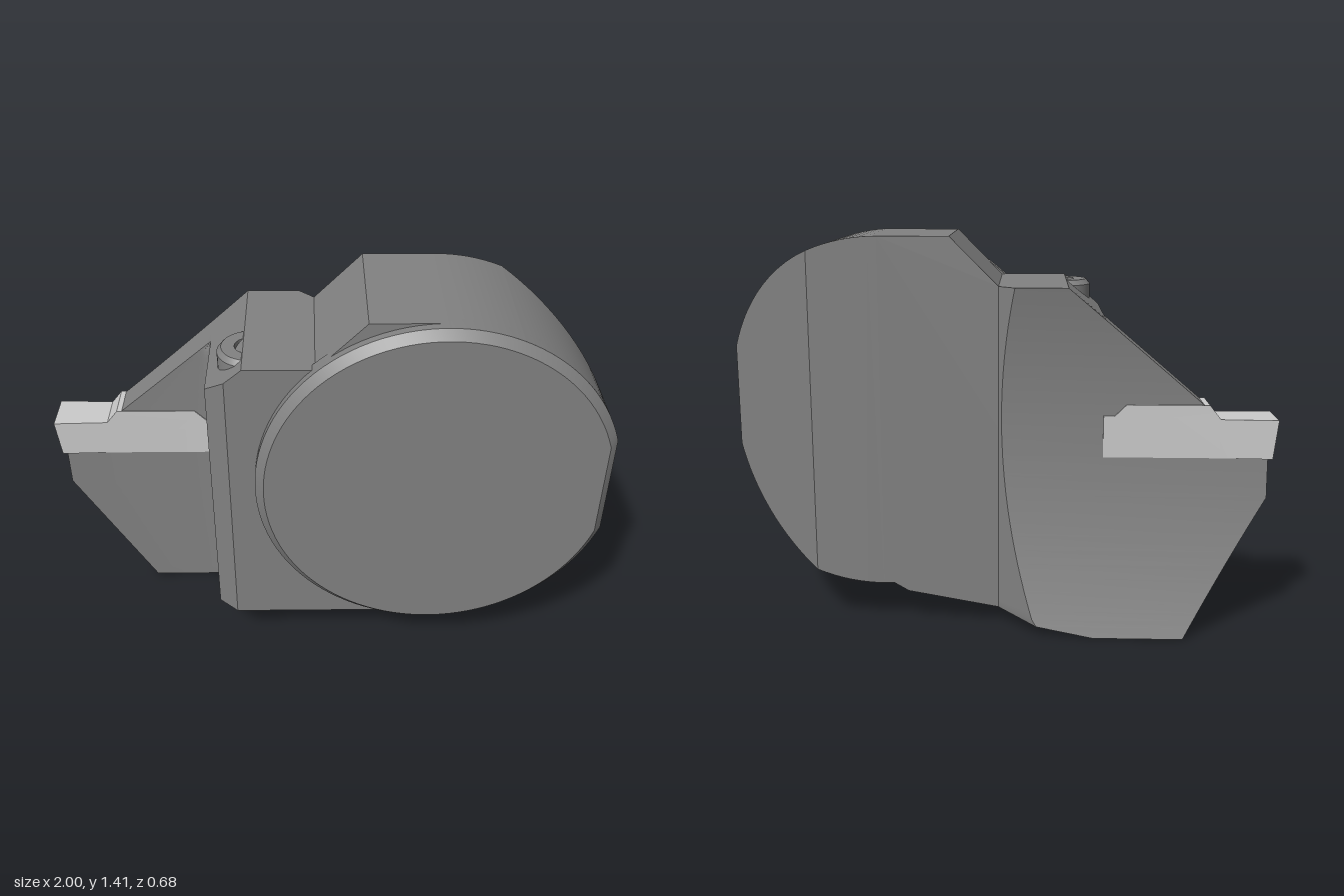
import * as THREE from 'three';
import { toCreasedNormals } from 'three/addons/utils/BufferGeometryUtils.js';

const CX = 0.4, CY = 0.78, R = 0.63;
const steel = new THREE.MeshStandardMaterial({ color: 0x828282 });
const carbide = new THREE.MeshStandardMaterial({ color: 0xcccccc });

function addMesh(group, name, geometry, material = steel) {
  const mesh = new THREE.Mesh(toCreasedNormals(geometry, 0.5), material);
  mesh.name = name;
  group.add(mesh);
}

// Prism along z between z0 and z1; rule(v, isFront) may then move each corner.
function prism(points, z0, z1, rule) {
  const shape = new THREE.Shape(points.map(([x, y]) => new THREE.Vector2(x, y)));
  const g = new THREE.ExtrudeGeometry(shape, { depth: z1 - z0, bevelEnabled: false });
  g.translate(0, 0, z0);
  if (rule) {
    const p = g.attributes.position, v = new THREE.Vector3(), mid = (z0 + z1) / 2;
    for (let i = 0; i < p.count; i++) {
      v.fromBufferAttribute(p, i);
      rule(v, v.z > mid);
      p.setXYZ(i, v.x, v.y, v.z);
    }
  }
  return g;
}

// Points of the disc's rim between two angles
function arc(a0, a1, n) {
  return Array.from({ length: n + 1 }, (_, i) => {
    const a = a0 + (a1 - a0) * i / n;
    return [CX + R * Math.cos(a), CY + R * Math.sin(a)];
  });
}

// Blade outline and curved back as functions of height
const backZ = y => -0.22 - 0.197 * (y - CY) ** 2;
function leftX(y) {
  if (y <= 0.5) return -0.68 - 0.58 * y;
  if (y <= 0.64) return -0.97;
  return y <= 0.78 ? -0.8 : -0.8 + (y - 0.78) * 0.54 / 0.46;
}
function rightX(y) {
  if (y <= 0.12) return -0.36 + y * 0.67 / 0.12;
  return y <= 0.155 ? 0.31 + (y - 0.12) * 1.7 : -0.02;
}

// Horizontal cross-section of the blade at height y, as [x, z] points
function bladeSection(y) {
  const xl = leftX(y), xr = rightX(y), zb = backZ(y);
  const slopeX = -0.02 + (zb + 0.21) * 1.1;
  const zr = xr < -0.02 ? Math.max(zb, -0.21 - (-0.02 - xr) / 1.1) : -0.21;
  const loop = [[xl, zb], [Math.min(xr, slopeX), zb], [Math.min(xr, -0.02), zr],
    [xr, zr], [xr, -0.015], [-0.39, -0.015]];
  for (let i = 0; i <= 4; i++) {
    const a = i * Math.PI / 8;
    loop.push([-0.43 + 0.04 * Math.cos(a), -0.05 - 0.04 * Math.sin(a)]);
  }
  loop.push([xl, -0.09]);
  return loop.map(([x, z]) => [Math.max(x, xl), z]);
}

function bladeGeometry() {
  const rows = [0, 0.036, 0.061, 0.09, 0.12, 0.155, 0.156];
  for (let i = 1; i <= 7; i++) rows.push(0.156 + (0.5 - 0.156) * i / 7);
  rows.push(0.57, 0.64, 0.641, 0.71, 0.78);
  for (let i = 1; i <= 10; i++) rows.push(0.78 + 0.35 * i / 10);
  rows.push(1.17, 1.205, 1.24);
  const pos = [], idx = [], sections = rows.map(bladeSection), n = sections[0].length;
  sections.forEach((s, r) => s.forEach(([x, z]) => pos.push(x, rows[r], z)));
  for (let r = 0; r < rows.length - 1; r++) {
    for (let j = 0; j < n; j++) {
      const a = r * n + j, b = r * n + (j + 1) % n;
      idx.push(a, b + n, b, a, a + n, b + n);
    }
  }
  // Bottom and top caps
  [0, rows.length - 1].forEach(r => {
    const pts = sections[r].map(([x, z]) => new THREE.Vector2(x, z));
    for (const [a, b, c] of THREE.ShapeUtils.triangulateShape(pts, [])) {
      const facesDown = THREE.ShapeUtils.area([pts[a], pts[b], pts[c]]) > 0;
      const t = facesDown === (r === 0) ? [a, b, c] : [a, c, b];
      idx.push(...t.map(k => k + r * n));
    }
  });
  const g = new THREE.BufferGeometry();
  g.setAttribute('position', new THREE.Float32BufferAttribute(pos, 3));
  g.setIndex(idx);
  return g;
}

export function createModel() {
  const group = new THREE.Group();
  group.name = 'cuttingHead';

  // Clamping block, with a chamfered upright front edge
  const block = [[-0.39, 0.15], [CX, 0.15], [CX, 1.41], [0.15, 1.41],
    [-0.02, 1.24], [-0.26, 1.24], [-0.39, 1.13]];
  addMesh(group, 'block', prism(block, -0.21, 0.22));
  addMesh(group, 'blockFront', prism(block, 0.22, 0.28, (v, front) => {
    if (front && v.x < -0.38) {
      v.x = -0.32;
      if (v.y > 1) v.y = 1.19;
    }
  }));

  // Round side of the body: straight part, then the part with the slanted back
  const flat = Math.acos((1 - CX) / R), cut = Math.acos((0.645 - CX) / R), q = Math.PI / 2;
  addMesh(group, 'roundBody',
    prism([...arc(-q, -cut, 8), ...arc(cut, q, 8)], -0.21, 0.31));
  addMesh(group, 'slantedBody',
    prism([...arc(-cut, -flat, 16), ...arc(flat, cut, 16)], -0.21, 0.31, (v, front) => {
      if (!front) v.z = 0.14 - (1 - v.x) * 0.35 / 0.355;
    }));

  // Front disc with a flat on one side and a chamfered rim
  const disc = arc(flat, 2 * Math.PI - flat, 96);
  addMesh(group, 'frontDisc', prism(disc, 0.25, 0.31));
  addMesh(group, 'discChamfer', prism(disc, 0.31, 0.34, (v, front) => {
    if (front) {
      v.x = CX + (v.x - CX) * 0.952;
      v.y = CY + (v.y - CY) * 0.952;
    }
  }));

  // Curved support blade with its foot
  addMesh(group, 'blade', bladeGeometry());

  // Fillet between the foot and the underside of the block
  const fillet = [[-0.02, 0.155], [-0.02, 0.11], [-0.015, 0.11]];
  for (let i = 0; i <= 6; i++) {
    const a = Math.PI - i * Math.PI / 12;
    fillet.push([0.025 + 0.04 * Math.cos(a), 0.11 + 0.04 * Math.sin(a)]);
  }
  fillet.push([0.025, 0.155]);
  const filletGeometry = prism(fillet, 0, 0.7);
  filletGeometry.rotateY(-Math.PI / 2).translate(0.31, 0, 0);
  addMesh(group, 'footFillet', filletGeometry);

  // Cutting insert, slightly wider at its tip
  const insert = [[-0.985, 0.64], [-0.8, 0.64], [-0.39, 0.64], [-0.39, 0.79], [-0.43, 0.79],
    [-0.47, 0.83], [-0.76, 0.83], [-0.8, 0.78], [-1, 0.78]];
  addMesh(group, 'cuttingInsert', prism(insert, -0.226, -0.086, (v, front) => {
    if (v.x < -0.9) v.z = front ? -0.08 : -0.235;
  }), carbide);

  // Screw head standing out of the sloping shoulder
  const profile = [[0, 1.05], [0.11, 1.05], [0.11, 1.22], [0.095, 1.238], [0.05, 1.238],
    [0.05, 1.19], [0, 1.19]].map(([r, y]) => new THREE.Vector2(r, y));
  const screw = new THREE.LatheGeometry(profile, 40);
  screw.translate(-0.24, 0, 0.12);
  addMesh(group, 'screwHead', screw);

  return group;
}
